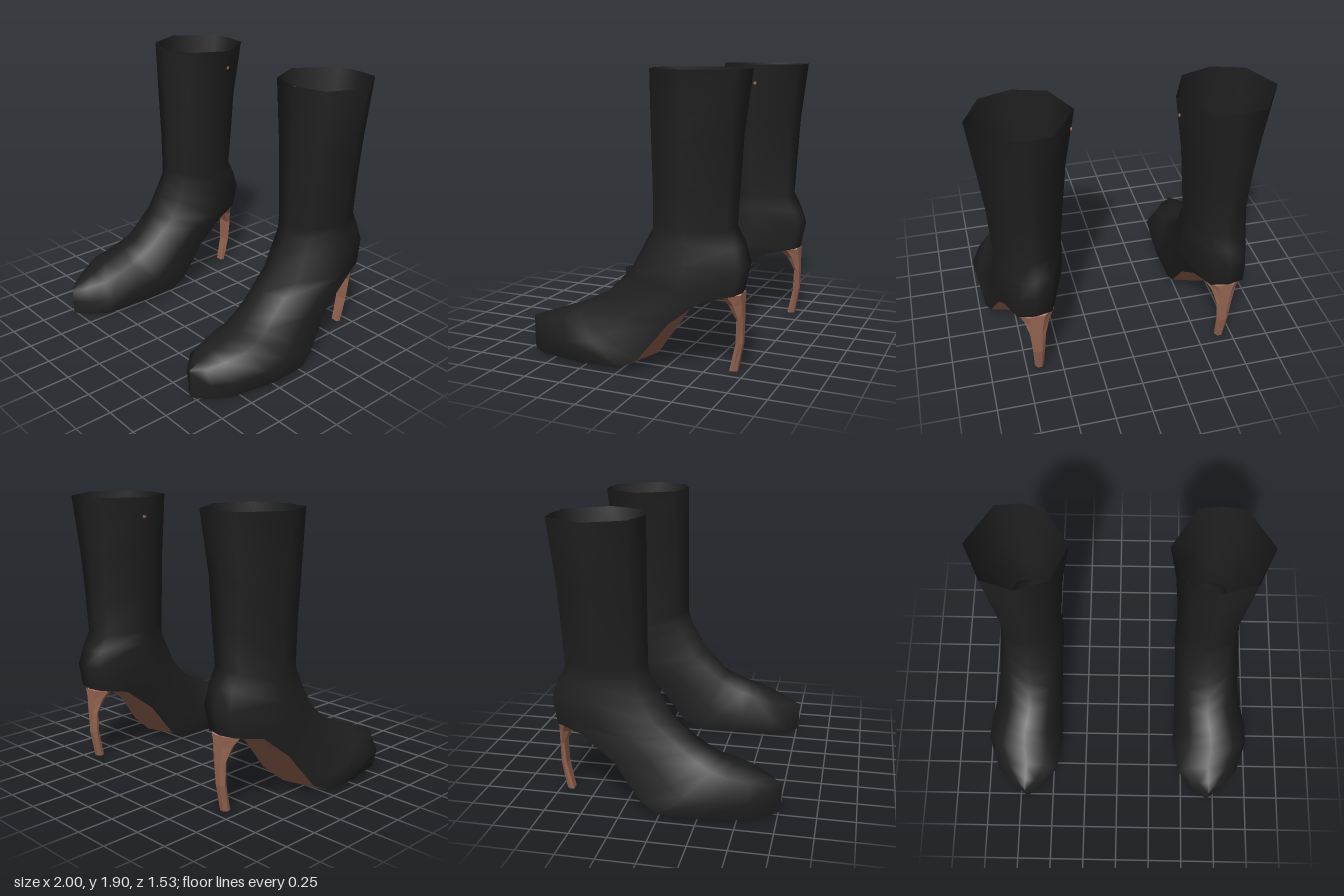
import * as THREE from 'three';

const leather = new THREE.MeshStandardMaterial({ color: 0x1f1f1f, side: THREE.DoubleSide });
leather.name = 'black leather';
const tan = new THREE.MeshStandardMaterial({ color: 0x936350, side: THREE.DoubleSide });
tan.name = 'tan brown';

// Boot sections: front z, y; back z, y; min x, max x; foot blend (0 = shaft, 1 = foot)
const SECTIONS = [
  [-0.125, 1.905, -0.74, 1.9, 0.32, 0.99, 0],
  [-0.125, 1.5, -0.695, 1.5, 0.38, 0.94, 0],
  [-0.125, 1.2, -0.68, 1.2, 0.405, 0.905, 0],
  [-0.125, 0.95, -0.665, 0.93, 0.425, 0.89, 0],
  [-0.11, 0.88, -0.725, 0.82, 0.43, 0.885, 0],
  [-0.04, 0.75, -0.765, 0.7, 0.425, 0.9, 0],
  [0.03, 0.62, -0.73, 0.53, 0.425, 0.915, 0],
  [0.11, 0.53, -0.53, 0.5, 0.43, 0.915, 0.7],
  [0.2, 0.44, -0.31, 0.33, 0.435, 0.92, 0.85],
  [0.29, 0.4, -0.12, 0.09, 0.44, 0.955, 1],
  [0.37, 0.36, -0.01, 0.03, 0.44, 0.985, 1],
  [0.45, 0.33, 0.25, 0.03, 0.43, 1.0, 1],
  [0.58, 0.28, 0.57, 0.02, 0.47, 0.92, 1],
  [0.69, 0.24, 0.69, 0.012, 0.575, 0.82, 1],
  [0.765, 0.21, 0.765, 0.005, 0.7, 0.7, 1],
];
const SOLE_START = 6;

// Half outlines: [sideways, front to back]
const SHAFT = [[0, 0], [0.65, 0.11], [1, 0.52], [0.47, 0.97], [0, 1]];
const FOOT = [[0, 0], [0.6, 0.1], [1, 0.52], [0.86, 1], [0, 1]];

function bootRing([fz, fy, bz, by, x0, x1, blend], row) {
  const ring = [];
  for (let j = 0; j < 8; j++) {
    const k = j <= 4 ? j : 8 - j;
    const side = j <= 4 ? 1 : -1;
    const u = THREE.MathUtils.lerp(SHAFT[k][0], FOOT[k][0], blend) * side;
    const t = THREE.MathUtils.lerp(SHAFT[k][1], FOOT[k][1], blend);
    const p = [
      (x0 + x1) / 2 + (u * (x1 - x0)) / 2,
      THREE.MathUtils.lerp(fy, by, t),
      THREE.MathUtils.lerp(fz, bz, t),
    ];
    // the arch of the sole sags in the middle
    if (k === 4 && row === 9) { p[1] -= 0.015; p[2] -= 0.05; }
    ring.push(p);
  }
  return ring;
}

// Skin of quads between closed rings, mirrored when s is -1
function loft(rings, s, keep = () => true) {
  const n = rings[0].length;
  const index = [];
  for (let i = 0; i < rings.length - 1; i++) {
    for (let j = 0; j < n; j++) {
      if (!keep(i, j)) continue;
      const a = i * n + j, b = i * n + ((j + 1) % n), c = a + n, d = b + n;
      if (s > 0) index.push(a, c, b, b, c, d);
      else index.push(a, b, c, b, d, c);
    }
  }
  const g = new THREE.BufferGeometry();
  const pos = rings.flat().flatMap(([x, y, z]) => [x * s, y, z]);
  g.setAttribute('position', new THREE.Float32BufferAttribute(pos, 3));
  g.setIndex(index);
  g.computeVertexNormals();
  return g;
}

// Heel sections: y, front z, back z, half width
const HEEL = [
  [0.525, -0.6, -0.73, 0.125],
  [0.46, -0.655, -0.732, 0.085],
  [0.36, -0.7, -0.736, 0.055],
  [0.2, -0.692, -0.734, 0.042],
  [0.015, -0.65, -0.7, 0.032],
  [0.015, -0.675, -0.675, 0],
];

function heelRing([y, f, b, w]) {
  const x = 0.66, m = (f + b) / 2;
  return [[x + w * 0.8, y, f], [x + w, y, m], [x + w * 0.45, y, b],
    [x - w * 0.45, y, b], [x - w, y, m], [x - w * 0.8, y, f]];
}

function part(name, geometry, material) {
  const mesh = new THREE.Mesh(geometry, material);
  mesh.name = name;
  return mesh;
}

function boot(name, s) {
  const group = new THREE.Group();
  group.name = name;
  const rings = SECTIONS.map(bootRing);
  const isSole = (i, j) => i >= SOLE_START && (j === 3 || j === 4);
  group.add(part('upper', loft(rings, s, (i, j) => !isSole(i, j)), leather));
  group.add(part('sole', loft(rings, s, isSole), tan));
  group.add(part('heel', loft(HEEL.map(heelRing), s).toNonIndexed(), tan));
  group.children[2].geometry.computeVertexNormals();

  // small stud on the inner side of the shaft
  const stud = part('stud', new THREE.CylinderGeometry(0.012, 0.012, 0.009, 6), tan);
  stud.rotation.z = Math.PI / 2;
  stud.position.set(0.345 * s, 1.77, -0.455);
  group.add(stud);
  return group;
}

export function createModel() {
  const model = new THREE.Group();
  model.name = 'ankleBoots';
  model.add(boot('leftBoot', 1), boot('rightBoot', -1));
  return model;
}
